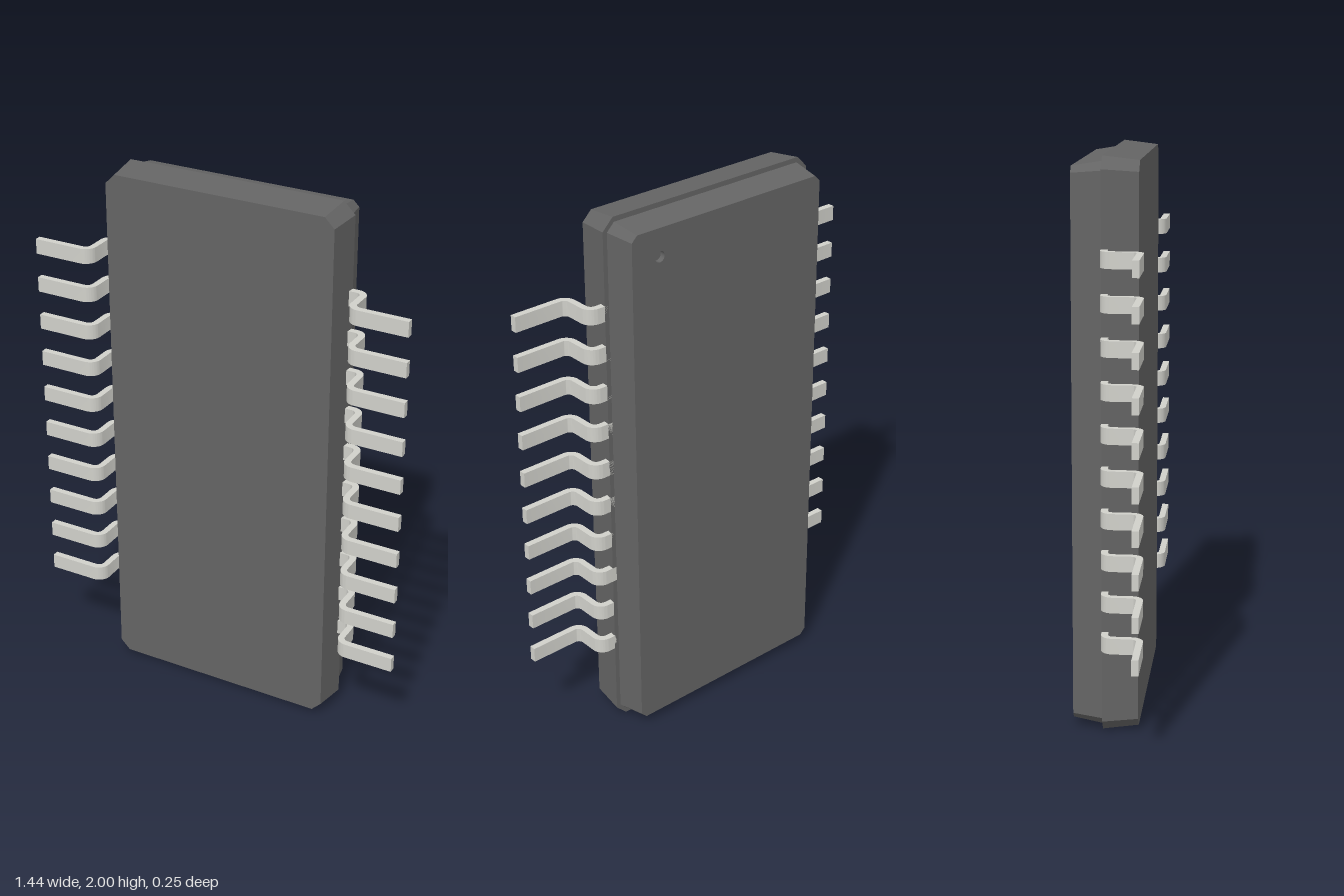
import * as THREE from 'three';
import { mergeGeometries, toCreasedNormals } from 'three/addons/utils/BufferGeometryUtils.js';

const bodyMat = new THREE.MeshStandardMaterial({ color: 0x646464 });
const pinMat = new THREE.MeshStandardMaterial({ color: 0xd0d0ca });

// Rectangle with chamfered corners, counter-clockwise, centred on y = 1
function outline(w, h, c) {
  return [
    [w - c, -h], [w, -h + c], [w, h - c], [w - c, h],
    [-w + c, h], [-w, h - c], [-w, -h + c], [-w + c, -h],
  ].map(([x, y]) => new THREE.Vector2(x, y + 1));
}

// Flat cap at depth z, facing front or back, optionally with a round hole
function cap(points, z, back = false, hole = null) {
  const shape = new THREE.Shape(points);
  if (hole) {
    const path = new THREE.Path();
    path.absarc(back ? -hole.x : hole.x, hole.y, hole.r, 0, Math.PI * 2, true);
    shape.holes.push(path);
  }
  const geo = new THREE.ShapeGeometry(shape, 10);
  if (back) geo.rotateY(Math.PI);
  geo.translate(0, 0, z);
  geo.deleteAttribute('uv');
  return geo.toNonIndexed();
}

// Sloped walls between a back outline and a front outline
function walls(backPts, zBack, frontPts, zFront) {
  const pos = [];
  const n = backPts.length;
  for (let i = 0; i < n; i++) {
    const j = (i + 1) % n;
    const a = [backPts[i].x, backPts[i].y, zBack];
    const b = [backPts[j].x, backPts[j].y, zBack];
    const c = [frontPts[j].x, frontPts[j].y, zFront];
    const d = [frontPts[i].x, frontPts[i].y, zFront];
    pos.push(...a, ...b, ...c, ...a, ...c, ...d);
  }
  const geo = new THREE.BufferGeometry();
  geo.setAttribute('position', new THREE.Float32BufferAttribute(pos, 3));
  geo.computeVertexNormals();
  return geo;
}

// Gull-wing lead: side profile in x/z, extruded along y
function pinGeometry(height) {
  const s = new THREE.Shape();
  const t = 0.024, rIn = 0.02, rOut = rIn + t;
  const zTop = -0.025, zFoot = 0.125, xOut = 0.517, tip = 0.72;
  const q = Math.PI / 2;
  s.moveTo(0.42, zTop);
  s.lineTo(xOut - rOut, zTop);
  s.absarc(xOut - rOut, zTop + rOut, rOut, -q, 0, false);
  s.lineTo(xOut, zFoot - rOut);
  s.absarc(xOut + rIn, zFoot - rOut, rIn, Math.PI, q, true);
  s.lineTo(tip, zFoot - t);
  s.lineTo(tip, zFoot);
  s.lineTo(xOut + rIn, zFoot);
  s.absarc(xOut + rIn, zFoot - rOut, rOut, q, Math.PI, false);
  s.lineTo(xOut - t, zTop + rOut);
  s.absarc(xOut - rOut, zTop + rOut, rIn, 0, -q, true);
  s.lineTo(0.42, zTop + t);
  s.closePath();
  const geo = new THREE.ExtrudeGeometry(s, { depth: height, bevelEnabled: false, curveSegments: 8 });
  geo.translate(0, 0, -height / 2);
  geo.rotateX(Math.PI / 2);
  return toCreasedNormals(geo, 0.6);
}

export function createModel() {
  const model = new THREE.Group();
  model.name = 'chipPackage';
  const add = (parent, name, geo, mat) => {
    const mesh = new THREE.Mesh(geo, mat);
    mesh.name = name;
    parent.add(mesh);
    return mesh;
  };

  // Front half of the casing, slightly larger than the back half
  const zPart = -0.025, zFront = 0.1, zBack = -0.13;
  const seam = outline(0.45, 1, 0.042);
  const face = outline(0.435, 0.985, 0.036);
  add(model, 'frontCasing', mergeGeometries([
    walls(seam, zPart, face, zFront), cap(face, zFront), cap(seam, zPart, true),
  ]), bodyMat);

  // Back half of the casing, with a hole for the pin-one marker
  const hole = { x: 0.3, y: 1.865, r: 0.02 };
  const backSeam = outline(0.433, 0.982, 0.03);
  const backFace = outline(0.415, 0.965, 0.022);
  add(model, 'backCasing', mergeGeometries([
    walls(backFace, zBack, backSeam, zPart), cap(backFace, zBack, true, hole),
  ]), bodyMat);

  // Shallow round marker recess
  const depth = 0.02;
  const marker = new THREE.Group();
  marker.name = 'pinOneMarker';
  marker.position.set(hole.x, hole.y, zBack);
  const wallMat = bodyMat.clone();
  wallMat.side = THREE.DoubleSide;
  const wall = new THREE.CylinderGeometry(hole.r, hole.r, depth, 20, 1, true);
  wall.rotateX(Math.PI / 2).translate(0, 0, depth / 2);
  add(marker, 'markerWall', wall, wallMat);
  const floor = new THREE.CircleGeometry(hole.r, 20);
  floor.rotateY(Math.PI).translate(0, 0, depth);
  add(marker, 'markerFloor', floor, bodyMat);
  model.add(marker);

  // Ten leads on each side
  const pin = pinGeometry(0.056);
  for (const side of [1, -1]) {
    const row = new THREE.Group();
    row.name = side > 0 ? 'leftPins' : 'rightPins';
    row.scale.x = side;
    for (let i = 0; i < 10; i++) {
      add(row, 'pin' + (i + 1), pin, pinMat).position.y = 0.343 + i * 0.1472;
    }
    model.add(row);
  }
  return model;
}
